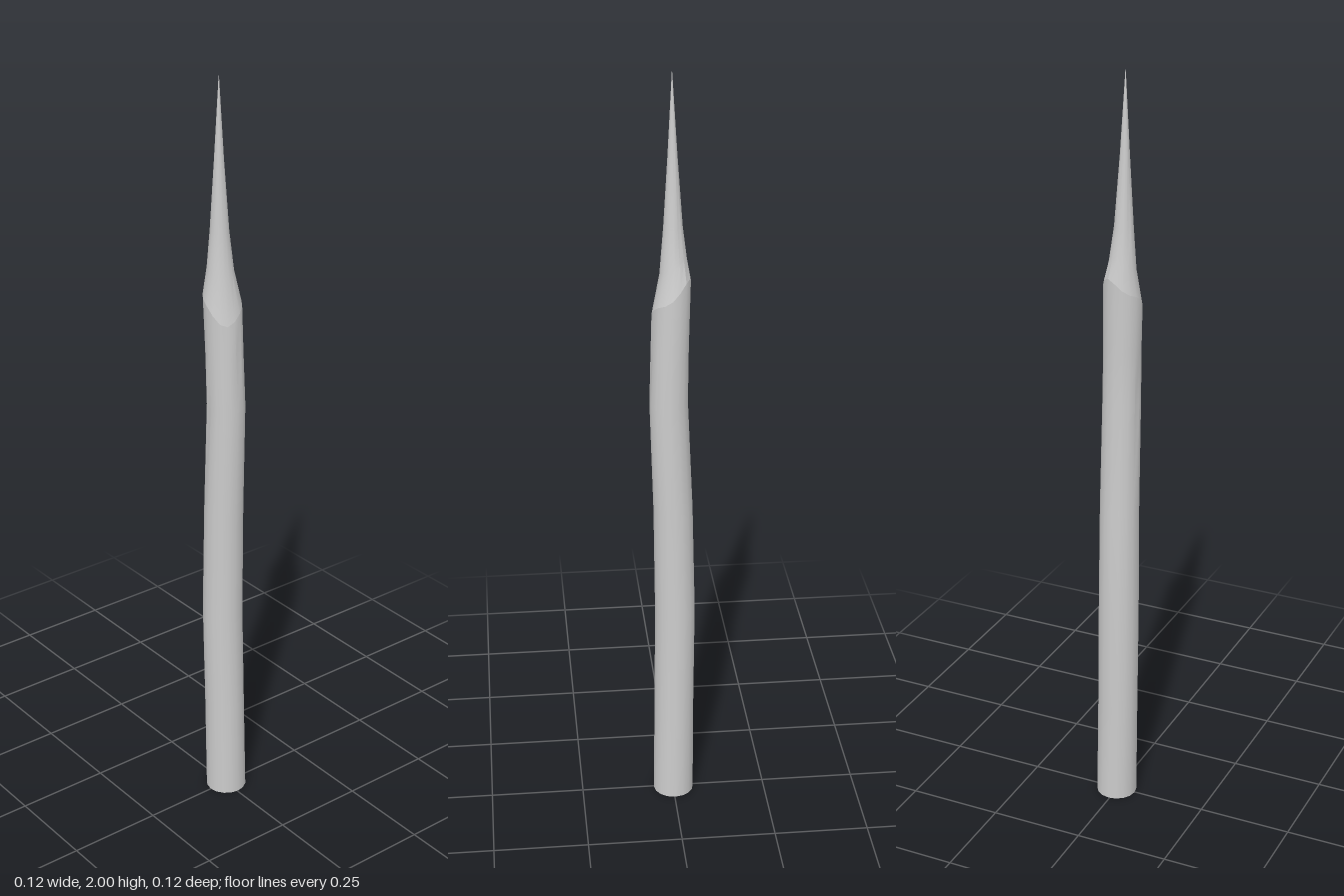
import * as THREE from 'three';
import { toCreasedNormals } from 'three/addons/utils/BufferGeometryUtils.js';

const SIDES = 16;

// Each ring is [centre x, y, centre z, radius, slant]; slant drops the +x side of the ring.
function loft(rings) {
  const positions = [];
  const index = [];
  rings.forEach(([cx, y, cz, r, slant = 0], i) => {
    for (let j = 0; j < SIDES; j++) {
      const a = (j / SIDES) * Math.PI * 2;
      const uneven = Math.cos(a - 0.3) + 0.2 * Math.sin(3 * a);
      positions.push(cx + r * Math.cos(a), y - slant * uneven, cz + r * Math.sin(a));
      if (i === 0) continue;
      const k = (j + 1) % SIDES;
      const low = (i - 1) * SIDES;
      const high = i * SIDES;
      index.push(low + j, high + j, low + k, high + j, high + k, low + k);
    }
  });
  const geometry = new THREE.BufferGeometry();
  geometry.setAttribute('position', new THREE.Float32BufferAttribute(positions, 3));
  geometry.setIndex(index);
  return toCreasedNormals(geometry, Math.PI / 6);
}

export function createModel() {
  const group = new THREE.Group();
  group.name = 'woodenStake';
  const material = new THREE.MeshStandardMaterial({ color: 0xcccccc });
  const add = (name, geometry) => {
    const mesh = new THREE.Mesh(geometry, material);
    mesh.name = name;
    group.add(mesh);
    return mesh;
  };

  // Slanted, uneven edge where the bark meets the sharpened point
  const rim = [0.003, 1.44, 0.012, 0.049, 0.045];

  // Gently crooked shaft
  add('shaft', loft([
    [-0.001, 0, -0.003, 0.054],
    [-0.003, 0.28, 0.001, 0.053],
    [-0.006, 0.56, 0.005, 0.053],
    [-0.001, 0.86, 0.005, 0.051],
    [0.01, 1.16, 0.006, 0.049],
    [0.007, 1.3, 0.009, 0.048],
    rim,
  ]));

  // Whittled point, slightly hollow in profile
  add('point', loft([
    rim,
    [-0.002, 1.52, 0.014, 0.034, 0.02],
    [-0.002, 1.62, 0.017, 0.024],
    [-0.001, 1.8, 0.019, 0.012],
    [0, 2, 0.02, 0.0005],
  ]));

  // Flat cut end
  const base = add('base', new THREE.CircleGeometry(0.054, SIDES));
  base.rotation.x = Math.PI / 2;
  base.position.set(-0.001, 0, -0.003);

  return group;
}
